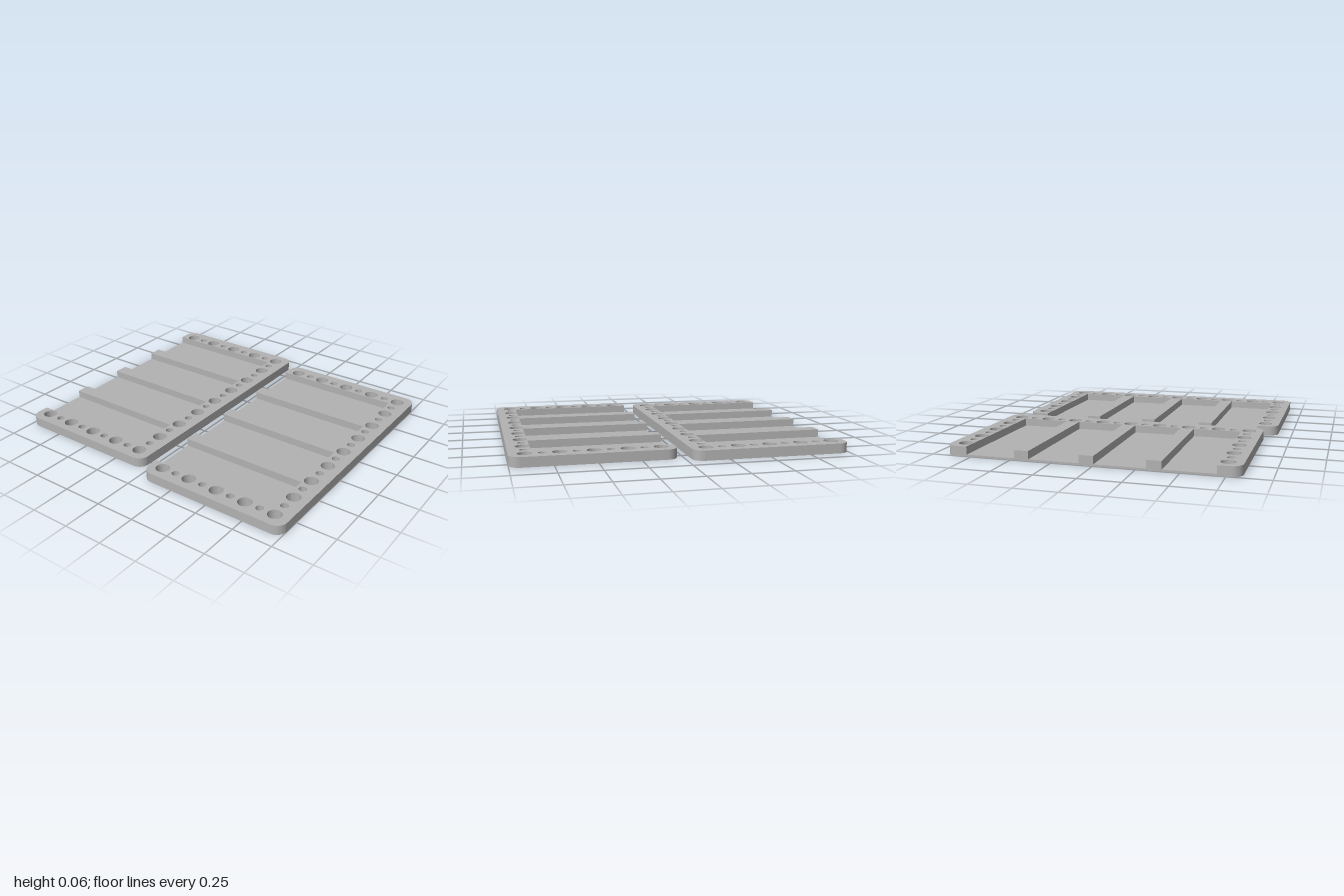
import * as THREE from 'three';
import { toCreasedNormals } from 'three/addons/utils/BufferGeometryUtils.js';

const W = 1.75, D = 0.965, R = 0.065;   // tray width, depth, corner radius
const H = 0.06, FLOOR = 0.012;          // full height, floor thickness
const RIM = 0.135;                      // width of the perforated rim
const DIVIDER = 0.088, DIVIDER_PITCH = 0.393;
const PITCH = 0.1965, BIG = 0.043, SMALL = 0.024, INSET = 0.093;

// Starts at the open (back) edge, left corner, and runs round the rim side
function traceOuter(shape) {
  const h = W / 2;
  shape.moveTo(-h + R, D);
  shape.absarc(-h + R, D - R, R, Math.PI / 2, Math.PI, false);
  shape.absarc(-h + R, R, R, Math.PI, Math.PI * 1.5, false);
  shape.absarc(h - R, R, R, Math.PI * 1.5, Math.PI * 2, false);
  shape.absarc(h - R, D - R, R, 0, Math.PI / 2, false);
}

// Alternating large and small holes along three sides
function addHoles(shape) {
  const add = (x, y, r) => {
    const hole = new THREE.Path();
    hole.absarc(x, y, r, 0, Math.PI * 2, true);
    shape.holes.push(hole);
  };
  const radius = (i) => (i % 2 ? SMALL : BIG);
  for (let i = 0; i <= 16; i++) add((i - 8) * PITCH / 2, INSET, radius(i));
  for (const side of [-1, 1]) {
    for (let i = 1; i <= 8; i++) add(side * 4 * PITCH, INSET + i * PITCH / 2, radius(i));
  }
}

function extrudeUp(shape, depth) {
  const geometry = new THREE.ExtrudeGeometry(shape, { depth, bevelEnabled: false, curveSegments: 14 });
  geometry.rotateX(-Math.PI / 2);
  return toCreasedNormals(geometry, 0.6);
}

function floorGeometry() {
  const shape = new THREE.Shape();
  traceOuter(shape);
  addHoles(shape);
  return extrudeUp(shape, FLOOR);
}

// Rim and dividers form one comb, open at the back
function combGeometry() {
  const shape = new THREE.Shape();
  traceOuter(shape);
  const edges = [W / 2 - RIM];
  for (const i of [1, 0, -1]) {
    edges.push(i * DIVIDER_PITCH + DIVIDER / 2, i * DIVIDER_PITCH - DIVIDER / 2);
  }
  edges.push(-W / 2 + RIM);
  for (let i = 0; i < edges.length; i += 2) {
    shape.lineTo(edges[i], D);
    shape.lineTo(edges[i], RIM);
    shape.lineTo(edges[i + 1], RIM);
    shape.lineTo(edges[i + 1], D);
  }
  shape.closePath();
  addHoles(shape);
  return extrudeUp(shape, H - FLOOR);
}

export function createModel() {
  const grey = new THREE.MeshStandardMaterial({ color: 0xb2b2b2 });
  grey.name = 'grey';
  const model = new THREE.Group();
  model.name = 'slottedTrays';
  const floorGeo = floorGeometry(), combGeo = combGeometry();

  // Two identical trays, offset sideways from each other
  for (const [name, x, z] of [['frontTray', -0.0375, 1], ['backTray', 0.0375, -0.035]]) {
    const tray = new THREE.Group();
    tray.name = name;
    const floor = new THREE.Mesh(floorGeo, grey);
    floor.name = 'floor';
    const comb = new THREE.Mesh(combGeo, grey);
    comb.name = 'rimAndDividers';
    comb.position.y = FLOOR;
    tray.add(floor, comb);
    tray.position.set(x, 0, z);
    model.add(tray);
  }
  return model;
}
